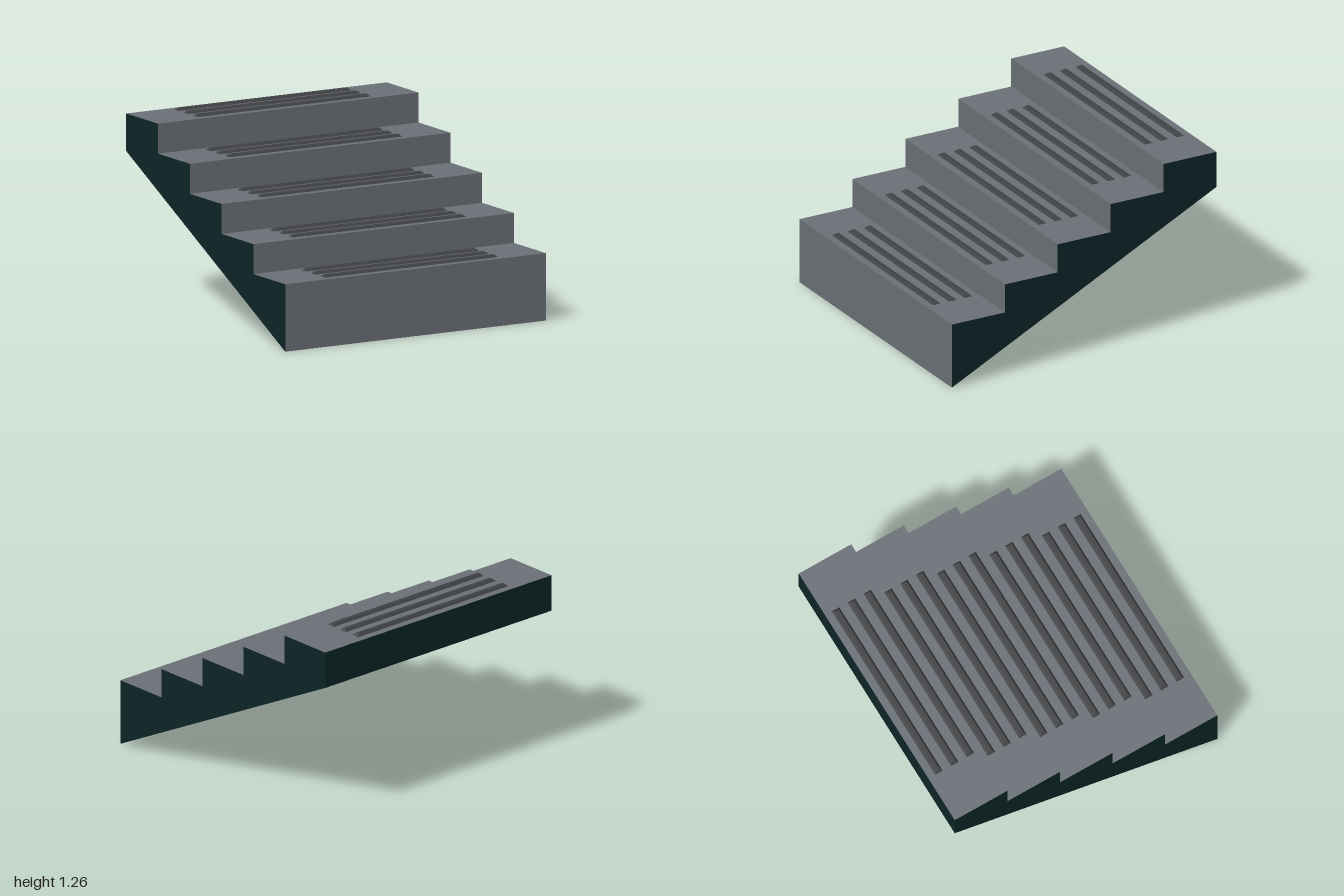
import * as THREE from 'three';

const STEPS = 5, RUN = 0.4, RISE = 0.2, FIRST = 0.45;

// Stepped side profile with a sloping underside, extruded across the width
function staircaseGeometry() {
  const profile = new THREE.Shape();
  profile.moveTo(1, 0);
  for (let i = 0; i < STEPS; i++) {
    profile.lineTo(1 - i * RUN, FIRST + i * RISE);
    profile.lineTo(1 - (i + 1) * RUN, FIRST + i * RISE);
  }
  profile.lineTo(-1, 1);
  profile.closePath();
  const geo = new THREE.ExtrudeGeometry(profile, { depth: 2, bevelEnabled: false });
  geo.translate(0, 0, -1).rotateY(-Math.PI / 2);

  // Treads and risers take the first material, all other faces the second
  const normal = geo.attributes.normal;
  geo.clearGroups();
  for (let v = 0; v < normal.count; v += 3) {
    const isStep = normal.getY(v) > 0.5 || normal.getZ(v) > 0.5;
    geo.addGroup(v, 3, isStep ? 0 : 1);
  }
  return geo;
}

// Low bar whose top is narrowed on all four sides
function gripGeometry() {
  const height = 0.015;
  const box = new THREE.BoxGeometry(1.326, height, 0.056);
  const pos = box.attributes.position;
  for (let i = 0; i < pos.count; i++) {
    if (pos.getY(i) > 0) {
      pos.setX(i, Math.sign(pos.getX(i)) * 0.648);
      pos.setZ(i, Math.sign(pos.getZ(i)) * 0.014);
    }
  }
  box.translate(0, height / 2, 0);
  box.computeVertexNormals();
  return box;
}

export function createModel() {
  const stepGrey = new THREE.MeshStandardMaterial({ color: 0x6b7077 });
  stepGrey.name = 'step grey';
  const sideDark = new THREE.MeshStandardMaterial({ color: 0x0d2527 });
  sideDark.name = 'dark side panel';
  const gripGrey = new THREE.MeshStandardMaterial({ color: 0x404144 });
  gripGrey.name = 'grip charcoal';

  const model = new THREE.Group();
  model.name = 'staircase';

  const body = new THREE.Mesh(staircaseGeometry(), [stepGrey, sideDark]);
  body.name = 'steps';
  model.add(body);

  // Three grip strips on every tread
  const grip = gripGeometry();
  for (let i = 0; i < STEPS; i++) {
    const treadGrips = new THREE.Group();
    treadGrips.name = `treadGrips${i + 1}`;
    treadGrips.position.set(0, FIRST + i * RISE, 0.8 - i * RUN);
    for (const offset of [-0.12, 0, 0.12]) {
      const strip = new THREE.Mesh(grip, gripGrey);
      strip.name = 'gripStrip';
      strip.position.z = offset;
      treadGrips.add(strip);
    }
    model.add(treadGrips);
  }
  return model;
}
